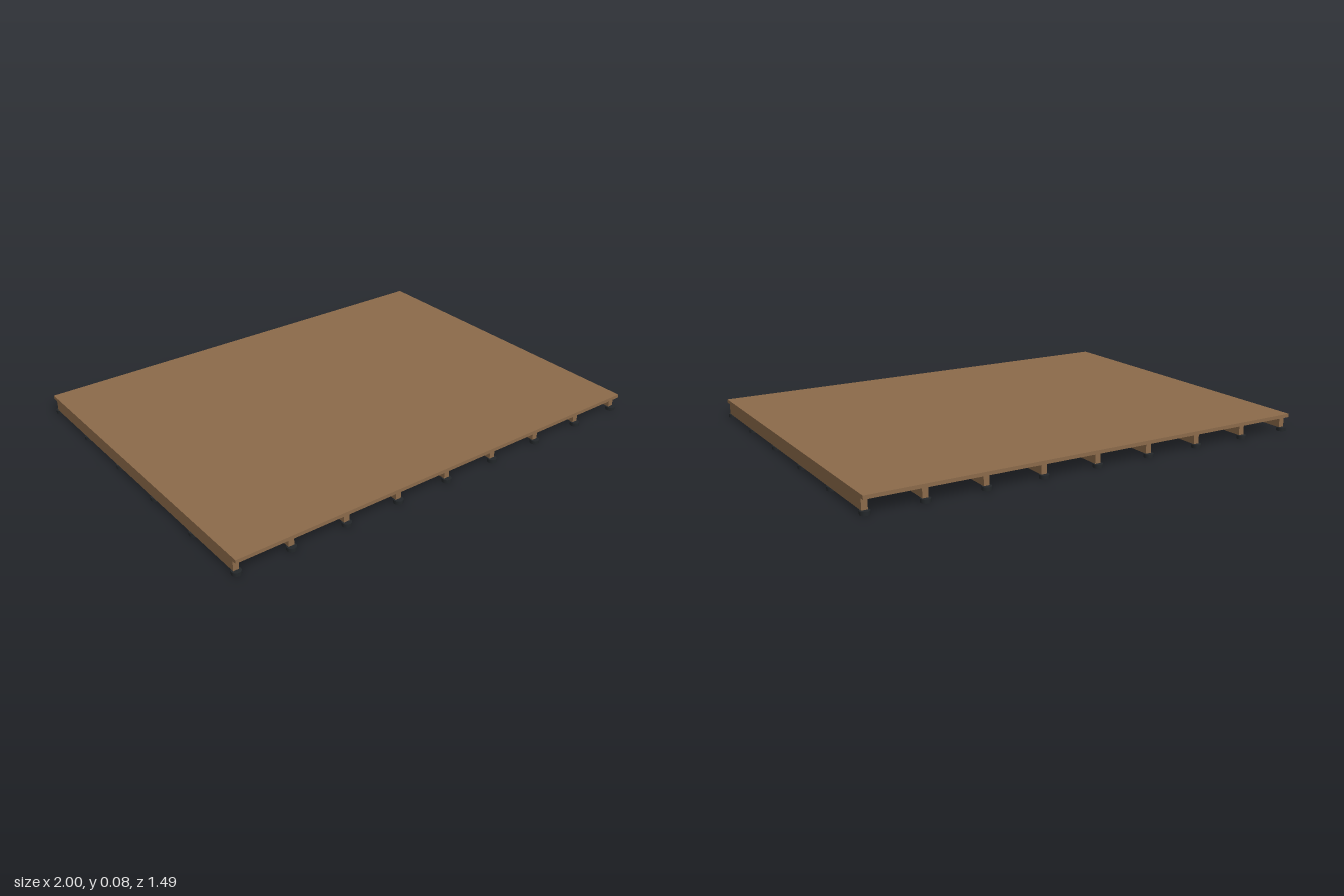
import * as THREE from 'three';

export function createModel() {
  const group = new THREE.Group();
  const wood = new THREE.MeshStandardMaterial({ color: 0x8b6a4a });
  wood.name = 'brown wood';
  const rubber = new THREE.MeshStandardMaterial({ color: 0x23272a });
  rubber.name = 'dark rubber';

  const add = (name, geometry, material, x, y, z) => {
    const mesh = new THREE.Mesh(geometry, material);
    mesh.name = name;
    mesh.position.set(x, y, z);
    group.add(mesh);
  };

  const padHeight = 0.015, deckBottom = 0.062, deckTop = 0.077;
  const joistHeight = deckBottom - padHeight;

  // Deck surface
  add('deck', new THREE.BoxGeometry(1.99, deckTop - deckBottom, 1.492), wood,
    0, (deckTop + deckBottom) / 2, 0);

  // Joists run front to back, the outer two set in from the deck edge
  const joist = new THREE.BoxGeometry(0.025, joistHeight, 1.444);
  const pad = new THREE.CylinderGeometry(0.02, 0.02, padHeight, 12);
  for (let i = -4; i <= 4; i++) {
    const x = THREE.MathUtils.clamp(i * 0.249, -0.98, 0.98);
    add('joist', joist, wood, x, padHeight + joistHeight / 2, 0);
    // Round support pads under each joist
    for (let j = 0; j < 6; j++) {
      add('supportPad', pad, rubber, x, padHeight / 2, (j - 2.5) * 0.289);
    }
  }
  return group;
}
